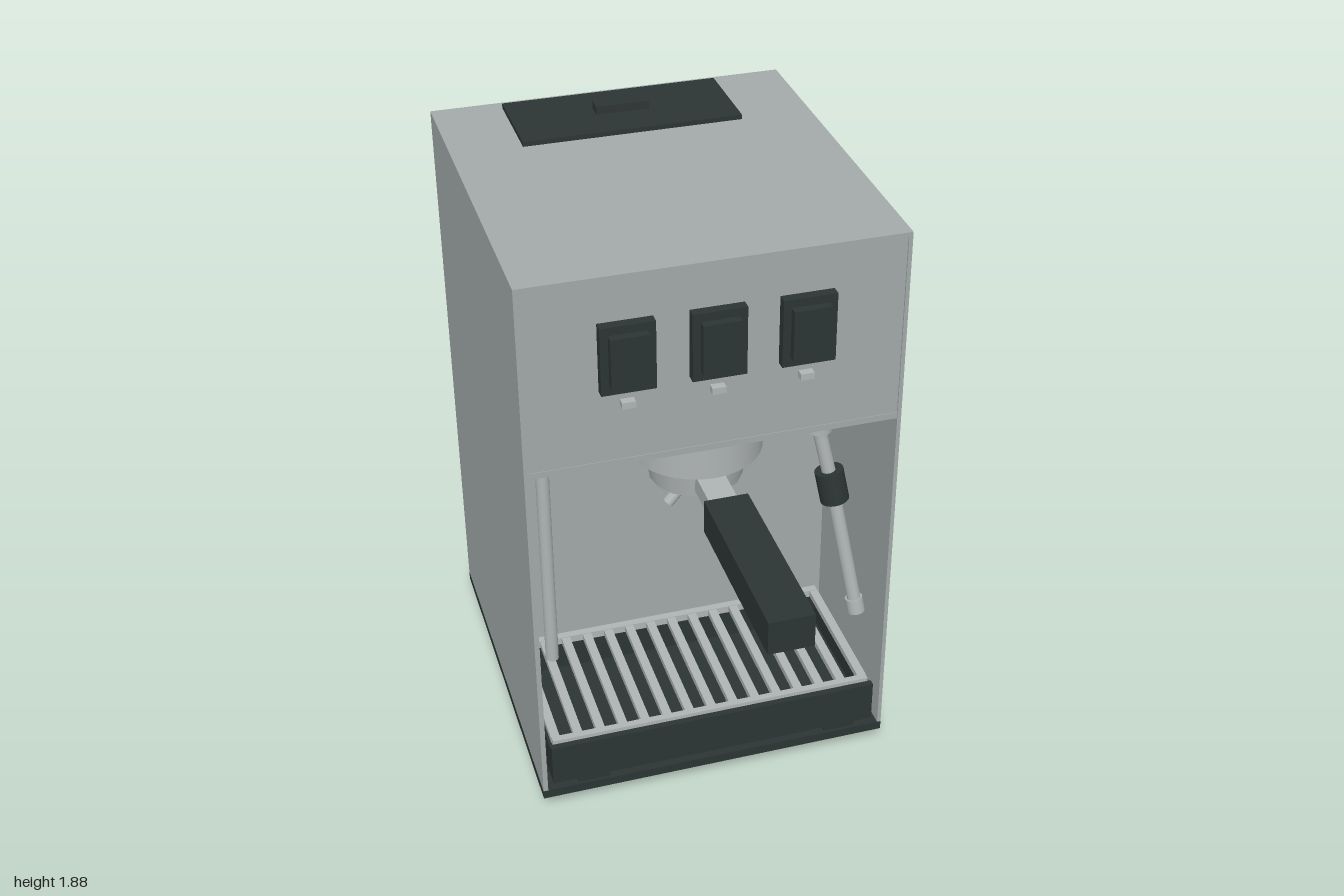
import * as THREE from 'three';

const flat = (name, color) => {
  const m = new THREE.MeshStandardMaterial({ color });
  m.name = name;
  return m;
};

export function createModel() {
  const steel = flat('brushed steel', 0xa3aaa9);
  const chrome = flat('chrome', 0xafb4b4);
  const black = flat('black plastic', 0x2c3534);
  const model = new THREE.Group();
  model.name = 'espressoMachine';

  const add = (name, geometry, material) => {
    const mesh = new THREE.Mesh(geometry, material);
    mesh.name = name;
    model.add(mesh);
    return mesh;
  };
  // box given by its extents
  const box = (name, mat, x0, x1, y0, y1, z0, z1) =>
    add(name, new THREE.BoxGeometry(x1 - x0, y1 - y0, z1 - z0), mat)
      .position.set((x0 + x1) / 2, (y0 + y1) / 2, (z0 + z1) / 2);
  // cylinder running from point a to point b
  const rod = (name, mat, a, b, r, sides = 20, rEnd = r) => {
    const p = new THREE.Vector3(...a), q = new THREE.Vector3(...b);
    const d = q.clone().sub(p);
    const mesh = add(name, new THREE.CylinderGeometry(rEnd, r, d.length(), sides), mat);
    mesh.position.copy(p).add(q).multiplyScalar(0.5);
    mesh.quaternion.setFromUnitVectors(new THREE.Vector3(0, 1, 0), d.normalize());
  };
  // bent tube with nearly straight runs
  const pipe = (name, mat, points, r) => {
    const path = new THREE.CurvePath();
    const v = points.map(p => new THREE.Vector3(...p));
    for (let i = 1; i < v.length; i++) {
      const a = v[i - 1], b = v[i];
      const start = i === 1 ? a : a.clone().lerp(b, 0.15);
      const end = i === v.length - 1 ? b : b.clone().lerp(a, 0.15);
      path.add(new THREE.LineCurve3(start, end));
      if (i < v.length - 1)
        path.add(new THREE.QuadraticBezierCurve3(end, b, b.clone().lerp(v[i + 1], 0.15)));
    }
    add(name, new THREE.TubeGeometry(path, 48, r, 12, false), mat);
  };

  const cx = -0.065; // middle of the housing

  // housing shell
  box('base', black, -0.62, 0.49, 0.05, 0.08, -0.82, 0.345);
  box('rightWall', steel, -0.62, -0.605, 0.08, 1.84, -0.82, 0.345);
  box('leftWall', steel, 0.478, 0.49, 0.08, 1.84, -0.82, 0.345);
  box('top', steel, -0.61, 0.48, 1.825, 1.84, -0.82, 0.345);
  box('controlPanel', steel, -0.605, 0.478, 1.26, 1.825, 0.32, 0.34);
  box('ceiling', steel, -0.605, 0.478, 1.24, 1.26, -0.805, 0.342);
  box('innerWall', steel, -0.605, 0.478, 0.08, 1.24, -0.24, -0.22);
  box('upperBackPanel', steel, -0.335, 0.29, 0.97, 1.24, -0.22, -0.205);
  box('splashPanel', steel, -0.565, 0.44, 0.08, 0.975, -0.22, -0.195);

  // back plate with vent slots
  const back = new THREE.Shape([[-0.605, 0.08], [0.478, 0.08], [0.478, 1.825], [-0.605, 1.825]]
    .map(p => new THREE.Vector2(...p)));
  for (let i = 0; i < 12; i++) {
    const x = cx + (i - 5.5) * 0.088, w = 0.02;
    back.holes.push(new THREE.Path([[x - w, 1.625], [x - w, 1.78], [x + w, 1.78], [x + w, 1.625]]
      .map(p => new THREE.Vector2(...p))));
  }
  add('ventedBack', new THREE.ExtrudeGeometry(back, { depth: 0.015, bevelEnabled: false }), steel)
    .position.z = -0.82;

  // feet
  for (const x of [-0.51, 0.38])
    for (const z of [0.22, -0.685])
      rod('foot', black, [x, 0, z], [x, 0.052, z], 0.043);

  // water tank lid
  box('tankLid', black, -0.405, 0.27, 1.84, 1.855, -0.78, -0.49);
  box('lidHandle', black, -0.15, 0.015, 1.855, 1.88, -0.665, -0.615);

  // switches and indicators
  for (const x of [cx - 0.257, cx, cx + 0.257]) {
    box('switchFrame', black, x - 0.078, x + 0.078, 1.49, 1.7, 0.335, 0.37);
    box('switchRocker', black, x - 0.055, x + 0.055, 1.52, 1.675, 0.37, 0.395);
    box('indicator', chrome, x - 0.02, x + 0.02, 1.435, 1.455, 0.335, 0.365);
  }

  // steam knob on the side
  rod('knobShaft', chrome, [0.485, 1.572, -0.06], [0.535, 1.572, -0.06], 0.042);
  rod('steamKnob', black, [0.53, 1.572, -0.06], [0.617, 1.572, -0.06], 0.083, 24);
  rod('knobPin', chrome, [0.61, 1.572, -0.06], [0.619, 1.572, -0.06], 0.013, 12);

  // brew group and portafilter
  const gz = 0.13;
  rod('groupHead', chrome, [cx, 1.13, gz], [cx, 1.24, gz], 0.198, 32);
  rod('filterBasket', chrome, [cx, 1.03, gz], [cx, 1.135, gz], 0.14, 16, 0.155);
  for (const s of [-1, 1])
    box('basketLug', chrome, cx + s * 0.145 - 0.022, cx + s * 0.145 + 0.022, 1.1, 1.14, gz - 0.04, gz + 0.04);
  box('portafilterArm', chrome, cx - 0.042, cx + 0.042, 1.053, 1.108, gz + 0.1, 0.44);
  box('portafilterHandle', black, cx - 0.065, cx + 0.065, 1.028, 1.132, 0.43, 1);
  for (const s of [-1, 1])
    pipe('spout', chrome, [[cx + s * 0.03, 1.04, gz], [cx + s * 0.035, 0.99, gz], [cx + s * 0.085, 0.93, gz]], 0.018);
  rod('rearHose', black, [0.105, 0.97, -0.165], [0.105, 1.24, -0.165], 0.024);

  // drain pipe
  rod('drainPipe', chrome, [-0.49, 0.265, -0.055], [-0.49, 1.24, -0.055], 0.021);

  // steam wand
  rod('wandMount', chrome, [0.323, 1.095, 0.12], [0.323, 1.24, 0.12], 0.042);
  pipe('steamWand', chrome, [[0.323, 1.12, 0.12], [0.33, 1.07, 0.122], [0.365, 0.9, 0.14], [0.437, 0.46, 0.21]], 0.022);
  rod('wandGrip', black, [0.375, 0.845, 0.147], [0.357, 0.948, 0.133], 0.045);
  rod('wandTip', chrome, [0.439, 0.445, 0.212], [0.431, 0.495, 0.204], 0.028);

  // drip tray with slatted grate
  box('trayFront', black, -0.585, 0.46, 0.095, 0.235, 0.315, 0.335);
  box('trayFloor', black, -0.585, 0.46, 0.095, 0.115, -0.19, 0.315);
  box('trayBack', black, -0.585, 0.46, 0.115, 0.22, -0.19, -0.175);
  box('traySide', black, -0.585, -0.57, 0.115, 0.22, -0.175, 0.315);
  box('traySide', black, 0.445, 0.46, 0.115, 0.22, -0.175, 0.315);
  for (const x of [-0.455, 0.35])
    box('trayFoot', black, x - 0.05, x + 0.05, 0.08, 0.095, 0.2, 0.335);
  box('grateFront', chrome, -0.575, 0.45, 0.22, 0.245, 0.29, 0.312);
  box('grateBack', chrome, -0.575, 0.45, 0.22, 0.245, -0.19, -0.165);
  for (let i = 0; i < 15; i++) {
    const x = -0.563 + i * 1.001 / 14;
    box('grateSlat', chrome, x - 0.014, x + 0.014, 0.222, 0.243, -0.165, 0.29);
  }

  // power cord and plug
  box('cordPlate', black, cx - 0.083, cx + 0.083, 1.36, 1.5, -0.845, -0.815);
  rod('cordSleeve', black, [cx, 1.428, -0.84], [cx, 1.428, -0.915], 0.033);
  pipe('powerCord', black, [[cx, 1.428, -0.9], [-0.055, 1.345, -0.978], [0.025, 1.18, -0.982], [0.14, 1.09, -0.95]], 0.017);
  box('plug', black, 0.1, 0.2, 1.0, 1.105, -0.985, -0.91);
  for (const x of [0.13, 0.17])
    rod('plugPin', chrome, [x, 0.92, -0.947], [x, 1.005, -0.947], 0.011, 12);

  return model;
}
